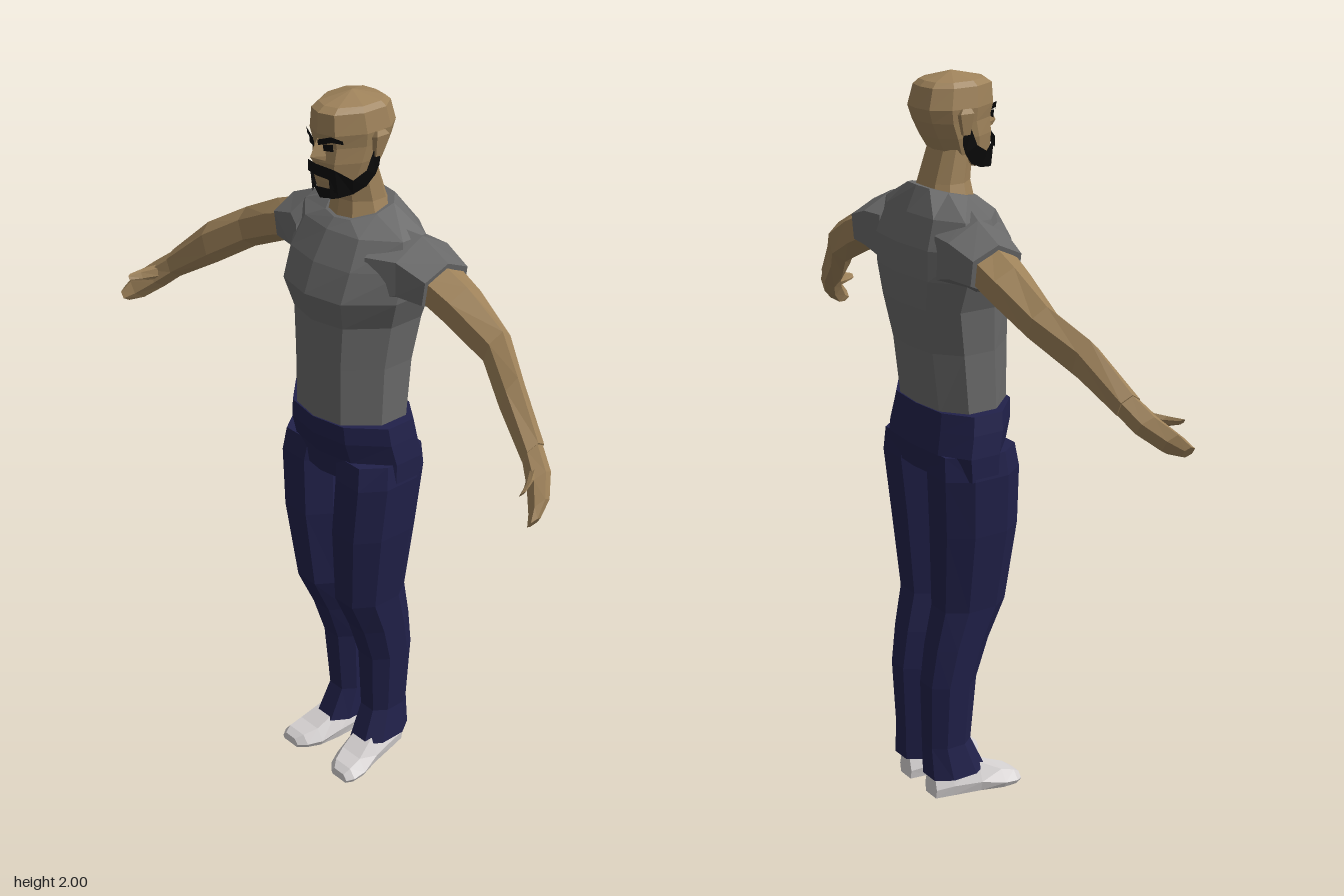
import * as THREE from 'three';

const paint = (name, color, side = THREE.FrontSide) => {
  const m = new THREE.MeshStandardMaterial({ color, side });
  m.name = name;
  return m;
};

// Flat-shaded mesh from a list of triangles
function facets(name, tris, material) {
  const g = new THREE.BufferGeometry();
  g.setAttribute('position', new THREE.Float32BufferAttribute(tris.flat(2), 3));
  g.computeVertexNormals();
  const mesh = new THREE.Mesh(g, material);
  mesh.name = name;
  return mesh;
}

// Skin between closed rings of points, capped at both ends; apex lifts the last cap
function loft(name, rings, material, apex) {
  const tris = [], n = rings[0].length;
  const centre = r => [0, 1, 2].map(k => r.reduce((s, p) => s + p[k], 0) / n);
  const first = rings[0], last = rings[rings.length - 1];
  const c0 = centre(first), c1 = apex || centre(last);
  for (let j = 0; j < n; j++) {
    const k = (j + 1) % n;
    for (let i = 0; i + 1 < rings.length; i++) {
      const a = rings[i], b = rings[i + 1];
      tris.push([a[j], a[k], b[k]], [a[j], b[k], b[j]]);
    }
    tris.push([c0, first[k], first[j]], [c1, last[j], last[k]]);
  }
  // turn every face outward
  const v = tris.reduce((s, [a, b, c]) => s + new THREE.Vector3(...a)
    .dot(new THREE.Vector3(...b).cross(new THREE.Vector3(...c))), 0);
  return facets(name, v < 0 ? tris.map(t => [t[0], t[2], t[1]]) : tris, material);
}

// Open strip between an upper and a lower line
function strip(name, upper, lower, material) {
  const tris = [];
  for (let i = 0; i + 1 < upper.length; i++) {
    tris.push([upper[i], lower[i], lower[i + 1]], [upper[i], lower[i + 1], upper[i + 1]]);
  }
  return facets(name, tris, material);
}

// Symmetric horizontal ring: height, half width, front z, back z, back height
const outline = [[0, 1], [0.55, 0.85], [1, 0.2], [1, -0.5], [0.6, -0.92], [0, -1]];
function bodyRing([y, w, zf, zb, yb = y]) {
  const half = outline.map(([fx, t]) => [fx * w, y + (yb - y) * (1 - t) / 2, (zf + zb) / 2 + t * (zf - zb) / 2]);
  return [...half, ...half.slice(1, -1).reverse().map(([x, a, z]) => [-x, a, z])];
}

// Six-sided arm ring: top x, top y, bottom x, bottom y, front z, back z
function armRing([xt, yt, xb, yb, zf, zb]) {
  return Array.from({ length: 6 }, (_, i) => {
    const a = Math.PI / 2 + i * Math.PI / 3, s = (1 + Math.sin(a)) / 2;
    return [xb + (xt - xb) * s, yb + (yt - yb) * s, (zf + zb) / 2 + Math.cos(a) / 0.866 * (zf - zb) / 2];
  });
}

// Eight-sided leg ring: height, inner x, outer x, front z, back z
function legRing([y, xi, xo, zf, zb]) {
  const cx = (xi + xo) / 2, cz = (zf + zb) / 2, hx = (xo - xi) / 2, hz = (zf - zb) / 2;
  return [[0.5, 1], [1, 0.45], [1, -0.45], [0.5, -1], [-0.5, -1], [-1, -0.45], [-1, 0.45], [-0.5, 1]]
    .map(([u, v]) => [cx + u * hx, y, cz + v * hz]);
}

// Shoe section: z, centre x, half width, top height
const shoeRing = ([z, cx, w, h]) => [[-0.85, 0], [0.85, 0], [1, 0.35], [0.6, 1], [-0.6, 1], [-1, 0.35]]
  .map(([u, v]) => [cx + u * w, v * h, z]);

export function createModel() {
  const model = new THREE.Group();
  model.name = 'standingMan';
  const skin = paint('skin', 0x9e825a);
  const shirt = paint('greyShirt', 0x696969);
  const navy = paint('navyTrousers', 0x21214a);
  const white = paint('shoeWhite', 0xd8d4d4);
  const black = paint('blackHair', 0x0b0b0b, THREE.DoubleSide);

  // Torso, hips and neck
  model.add(loft('shirtBody', [
    [1.13, 0.157, 0.135, -0.108], [1.3, 0.158, 0.137, -0.13], [1.42, 0.17, 0.137, -0.157],
    [1.5, 0.2, 0.16, -0.163], [1.58, 0.205, 0.13, -0.163], [1.655, 0.185, 0.085, -0.135],
    [1.68, 0.085, 0.06, -0.105, 1.72],
  ].map(bodyRing), shirt));
  model.add(loft('trouserHips', [
    [0.965, 0.196, 0.112, -0.12], [1.03, 0.198, 0.12, -0.13], [1.09, 0.192, 0.137, -0.12],
    [1.14, 0.184, 0.138, -0.112],
  ].map(bodyRing), navy));
  model.add(loft('neck', [
    [1.66, 0.088, 0.055, -0.1], [1.725, 0.07, 0.042, -0.08], [1.81, 0.063, 0.05, -0.052],
  ].map(bodyRing), skin));

  // Head
  model.add(loft('head', [
    [1.757, 0.04, 0.098, 0.03], [1.79, 0.063, 0.105, -0.045], [1.84, 0.076, 0.108, -0.075],
    [1.88, 0.08, 0.103, -0.095], [1.915, 0.085, 0.113, -0.107], [1.967, 0.077, 0.11, -0.093],
    [1.98, 0.066, 0.09, -0.078],
  ].map(bodyRing), skin, [0, 2, 0]));
  model.add(loft('nose', [
    [[-0.018, 1.845, 0.1], [0.018, 1.845, 0.1], [0, 1.848, 0.128]],
    [[-0.018, 1.858, 0.1], [0.018, 1.858, 0.1], [0, 1.86, 0.136]],
    [[-0.008, 1.9, 0.1], [0.008, 1.9, 0.1], [0, 1.9, 0.114]],
  ], skin));

  // Goatee around the mouth
  model.add(strip('moustache',
    [[-0.05, 1.83, 0.1], [0, 1.838, 0.118], [0.05, 1.83, 0.1]],
    [[-0.05, 1.8, 0.1], [0, 1.808, 0.118], [0.05, 1.8, 0.1]], black));
  model.add(strip('chinBeard',
    [[-0.048, 1.776, 0.094], [0, 1.778, 0.114], [0.048, 1.776, 0.094]],
    [[-0.034, 1.748, 0.088], [0, 1.745, 0.105], [0.034, 1.748, 0.088]], black));

  for (const s of [1, -1]) {
    const side = new THREE.Group();
    side.name = s > 0 ? 'leftSide' : 'rightSide';
    model.add(side);
    const flip = pts => pts.map(([x, y, z]) => [s * x, y, z]);
    const add = (name, rings, material) => side.add(loft(name, rings.map(flip), material));

    // Ear, eye and brow
    add('ear', [
      [[0.076, 1.85, 0.0], [0.088, 1.85, 0.0], [0.088, 1.85, -0.02], [0.076, 1.85, -0.02]],
      [[0.078, 1.9, 0.01], [0.098, 1.905, 0.005], [0.098, 1.905, -0.035], [0.078, 1.9, -0.035]],
      [[0.08, 1.915, 0.0], [0.092, 1.917, 0.0], [0.092, 1.917, -0.025], [0.08, 1.915, -0.025]],
    ], skin);
    side.add(strip('eyebrow', flip([[0.008, 1.903, 0.119], [0.045, 1.917, 0.108], [0.068, 1.908, 0.09]]),
      flip([[0.008, 1.888, 0.117], [0.045, 1.902, 0.106], [0.068, 1.898, 0.087]]), black));
    side.add(strip('eye', flip([[0.016, 1.89, 0.109], [0.044, 1.895, 0.101]]),
      flip([[0.018, 1.874, 0.108], [0.044, 1.876, 0.099]]), black));

    // Beard along the jaw, up to the ear
    side.add(strip('jawBeard',
      flip([[0.034, 1.81, 0.107], [0.05, 1.83, 0.1], [0.072, 1.8, 0.06], [0.082, 1.82, 0.025], [0.084, 1.865, 0.005], [0.084, 1.865, -0.018]]),
      flip([[0.034, 1.75, 0.1], [0.046, 1.752, 0.085], [0.06, 1.757, 0.05], [0.07, 1.772, 0.015], [0.078, 1.8, -0.008], [0.081, 1.825, -0.018]]), black));

    // Sleeve and arm
    add('sleeve', [
      [0.13, 1.675, 0.13, 1.45, 0.075, -0.135], [0.2, 1.662, 0.2, 1.48, 0.035, -0.14],
      [0.293, 1.62, 0.272, 1.49, 0.018, -0.126],
    ].map(armRing), shirt);
    add('arm', [
      [0.26, 1.62, 0.245, 1.505, 0.01, -0.115], [0.36, 1.58, 0.335, 1.465, -0.001, -0.108],
      [0.49, 1.512, 0.455, 1.408, -0.013, -0.086], [0.595, 1.447, 0.56, 1.338, 0.033, -0.03],
      [0.71, 1.335, 0.68, 1.265, 0.072, 0.015],
    ].map(armRing), skin);
    add('hand', [
      [0.705, 1.335, 0.68, 1.265, 0.07, 0.017], [0.762, 1.29, 0.72, 1.228, 0.098, 0.04],
      [0.802, 1.25, 0.765, 1.19, 0.135, 0.085], [0.812, 1.215, 0.79, 1.182, 0.16, 0.128],
    ].map(armRing), skin);
    add('thumb', [
      [0.73, 1.295, 0.715, 1.255, 0.085, 0.055], [0.758, 1.283, 0.742, 1.252, 0.125, 0.1],
      [0.772, 1.272, 0.76, 1.255, 0.158, 0.142],
    ].map(armRing), skin);

    // Trouser leg
    add('trouserLeg', [
      [0.065, 0.014, 0.132, 0.045, -0.122], [0.16, 0.016, 0.118, 0.003, -0.124],
      [0.35, 0.014, 0.132, 0.015, -0.13], [0.46, 0.01, 0.14, 0.05, -0.115],
      [0.57, 0.008, 0.148, 0.1, -0.092], [0.8, 0.012, 0.182, 0.12, -0.105],
      [0.965, 0.02, 0.197, 0.115, -0.118], [1.03, 0.012, 0.19, 0.105, -0.115],
    ].map(legRing), navy);

    // Shoe, toe turned out
    add('shoe', [
      [-0.11, 0.066, 0.03, 0.075], [-0.06, 0.068, 0.042, 0.09], [0.02, 0.078, 0.052, 0.085],
      [0.085, 0.092, 0.06, 0.05], [0.125, 0.102, 0.05, 0.038], [0.145, 0.107, 0.032, 0.025],
    ].map(shoeRing), white);
  }
  return model;
}
